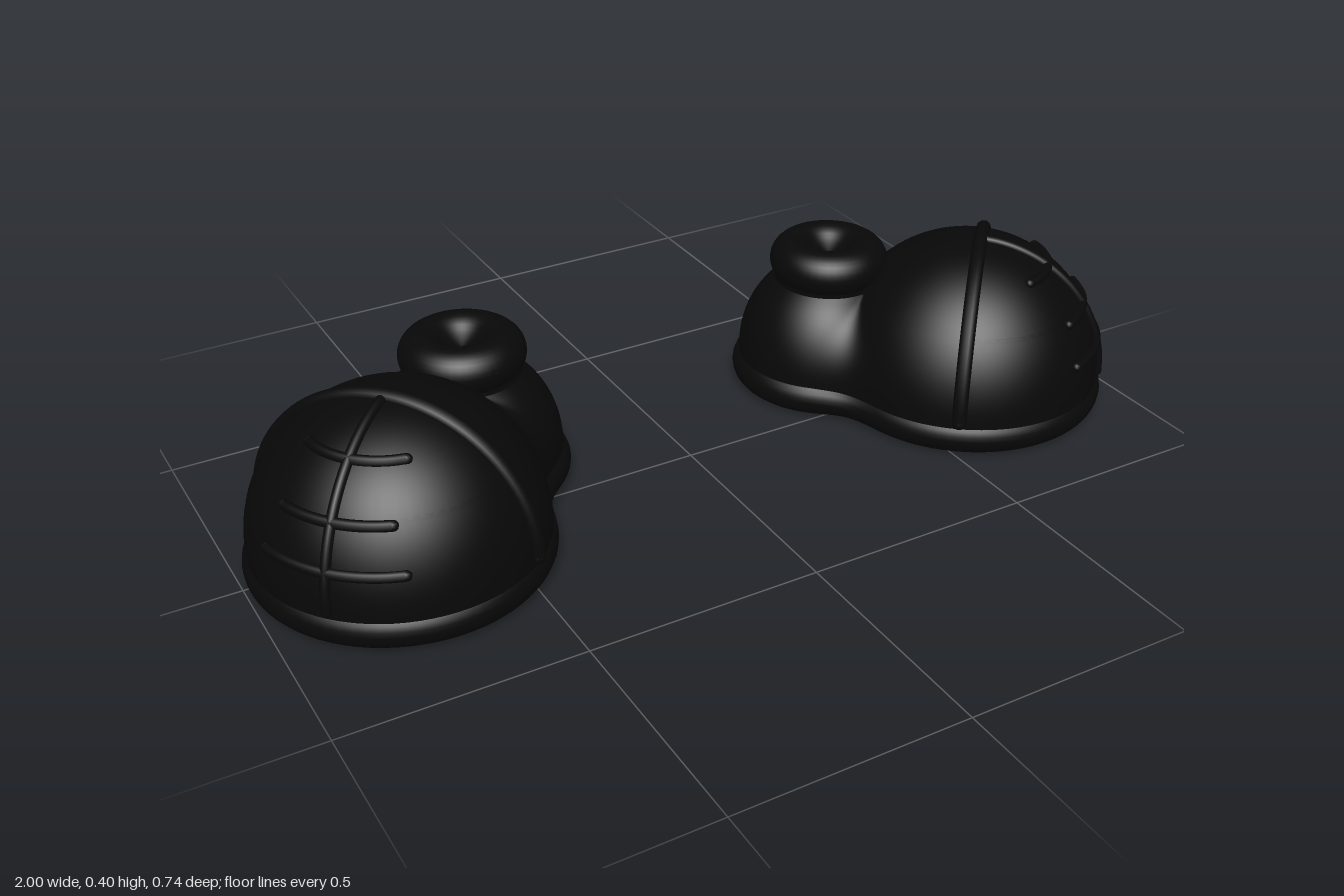
import * as THREE from 'three';

const BLACK = new THREE.MeshStandardMaterial({ color: 0x080808, side: THREE.DoubleSide });
const HEEL_Z = -0.322, MID_Z = -0.21, BASE_Y = 0.085, TOE_R = 0.3, TOP_Y = 0.26;

function add(group, name, geometry) {
  const mesh = new THREE.Mesh(geometry, BLACK);
  mesh.name = name;
  group.add(mesh);
  return mesh;
}

// Distance from the waist of the shoe to the edge of a circle centred at z = c
function exitDistance(angle, c, r) {
  const m = c - MID_Z, s = m * Math.sin(angle);
  return m * Math.cos(angle) + Math.sqrt(Math.max(r * r - s * s, 0));
}

// Stack of outlines, each one a toe circle and a heel circle joined by a fillet
function loft(rows, segments = 128) {
  const positions = [], index = [];
  for (const { y, toe, heel, blend = 0.1, scale = 1 } of rows) {
    for (let j = 0; j < segments; j++) {
      const t = (j / segments) * Math.PI * 2;
      const a = exitDistance(t, 0, toe), b = exitDistance(t, HEEL_Z, heel);
      const h = Math.max(blend - Math.abs(a - b), 0) / blend;
      const d = scale * (Math.max(a, b) + h * h * blend / 4);
      positions.push(Math.sin(t) * d, y, MID_Z + Math.cos(t) * d);
    }
  }
  for (let i = 0; i < rows.length - 1; i++) {
    for (let j = 0; j < segments; j++) {
      const k = (j + 1) % segments;
      const a = i * segments + j, b = i * segments + k;
      index.push(a, b, a + segments, b, b + segments, a + segments);
    }
  }
  const geometry = new THREE.BufferGeometry();
  geometry.setAttribute('position', new THREE.Float32BufferAttribute(positions, 3));
  geometry.setIndex(index);
  geometry.computeVertexNormals();
  return geometry;
}

// Point on the toe dome at a height and an angle from straight ahead
function onDome(y, angle) {
  const r = Math.sqrt(Math.max(TOE_R ** 2 - (y - BASE_Y) ** 2, 0));
  return new THREE.Vector3(Math.sin(angle) * r, y, Math.cos(angle) * r);
}

// Raised bead with rounded ends
function bead(group, name, points, radius) {
  const curve = new THREE.CatmullRomCurve3(points);
  add(group, name, new THREE.TubeGeometry(curve, 48, radius, 10));
  for (const p of [points[0], points[points.length - 1]]) {
    add(group, name + 'End', new THREE.SphereGeometry(radius, 10, 8)).position.copy(p);
  }
}

function createShoe() {
  const shoe = new THREE.Group();

  // Sole with a rounded rim
  const soleRows = [0, 0.5, 0.98].map((scale) => ({ y: 0, toe: 0.28, heel: 0.185, scale }));
  for (let i = 0; i <= 12; i++) {
    const a = -Math.PI / 2 + (i / 12) * Math.PI;
    const inset = 0.042 * (1 - Math.cos(a));
    soleRows.push({ y: 0.042 + 0.042 * Math.sin(a), toe: 0.31 - inset, heel: 0.215 - inset });
  }
  add(shoe, 'sole', loft(soleRows));

  // Upper: toe and heel blended together, the fillet fading out upwards
  const upperRows = [];
  for (let i = 0; i <= 18; i++) {
    const y = 0.06 + (i / 18) * (TOP_Y - 0.06), h = Math.max(y - BASE_Y, 0);
    upperRows.push({
      y,
      toe: Math.sqrt(TOE_R ** 2 - h * h),
      heel: 0.2 * Math.sqrt(1 - (h / 0.22) ** 2),
      blend: 0.005 + 0.1 * (1 - (h / (TOP_Y - BASE_Y)) ** 3),
    });
  }
  add(shoe, 'upper', loft(upperRows));

  // Top of the toe
  const capAngle = Math.acos((TOP_Y - 0.004 - BASE_Y) / TOE_R);
  add(shoe, 'toeDome', new THREE.SphereGeometry(TOE_R, 64, 20, 0, Math.PI * 2, 0, capAngle)).position.y = BASE_Y;

  // Padded ankle collar, dipping to the middle
  const profile = [new THREE.Vector2(0, 0.255)];
  for (let i = 0; i <= 20; i++) {
    const a = -Math.PI / 2 + (i / 20) * Math.PI * 1.3;
    profile.push(new THREE.Vector2(0.083 + 0.05 * Math.cos(a), 0.305 + 0.05 * Math.sin(a)));
  }
  profile.push(new THREE.Vector2(0.03, 0.325), new THREE.Vector2(0.012, 0.315), new THREE.Vector2(0, 0.312));
  add(shoe, 'ankleCollar', new THREE.LatheGeometry(profile, 48)).position.z = HEEL_Z;

  // Seam across the toe
  const offset = 0.015, arcR = Math.sqrt(TOE_R ** 2 - offset ** 2), arc = [];
  for (let i = 0; i <= 24; i++) {
    const a = (i / 24) * Math.PI;
    arc.push(new THREE.Vector3(Math.cos(a) * arcR, BASE_Y + Math.sin(a) * arcR, offset));
  }
  bead(shoe, 'crossSeam', arc, 0.016);

  // Seam down the front with three stitches
  const front = [];
  for (let i = 0; i <= 12; i++) {
    const a = 0.05 + (i / 12) * (Math.PI / 2 - 0.05);
    front.push(new THREE.Vector3(0, BASE_Y + Math.cos(a) * TOE_R, Math.sin(a) * TOE_R));
  }
  bead(shoe, 'frontSeam', front, 0.011);
  for (const [y, spread] of [[0.165, 0.52], [0.25, 0.46], [0.335, 0.65]]) {
    const points = [];
    for (let i = -4; i <= 4; i++) points.push(onDome(y, (i / 4) * spread));
    bead(shoe, 'stitch', points, 0.011);
  }
  return shoe;
}

export function createModel() {
  const model = new THREE.Group();
  model.name = 'shoes';
  // The two shoes turn outwards
  for (const side of [1, -1]) {
    const shoe = createShoe();
    shoe.name = side > 0 ? 'leftShoe' : 'rightShoe';
    shoe.position.set(side * 0.69, 0, 0.057);
    shoe.rotation.y = side * THREE.MathUtils.degToRad(48);
    model.add(shoe);
  }
  return model;
}
